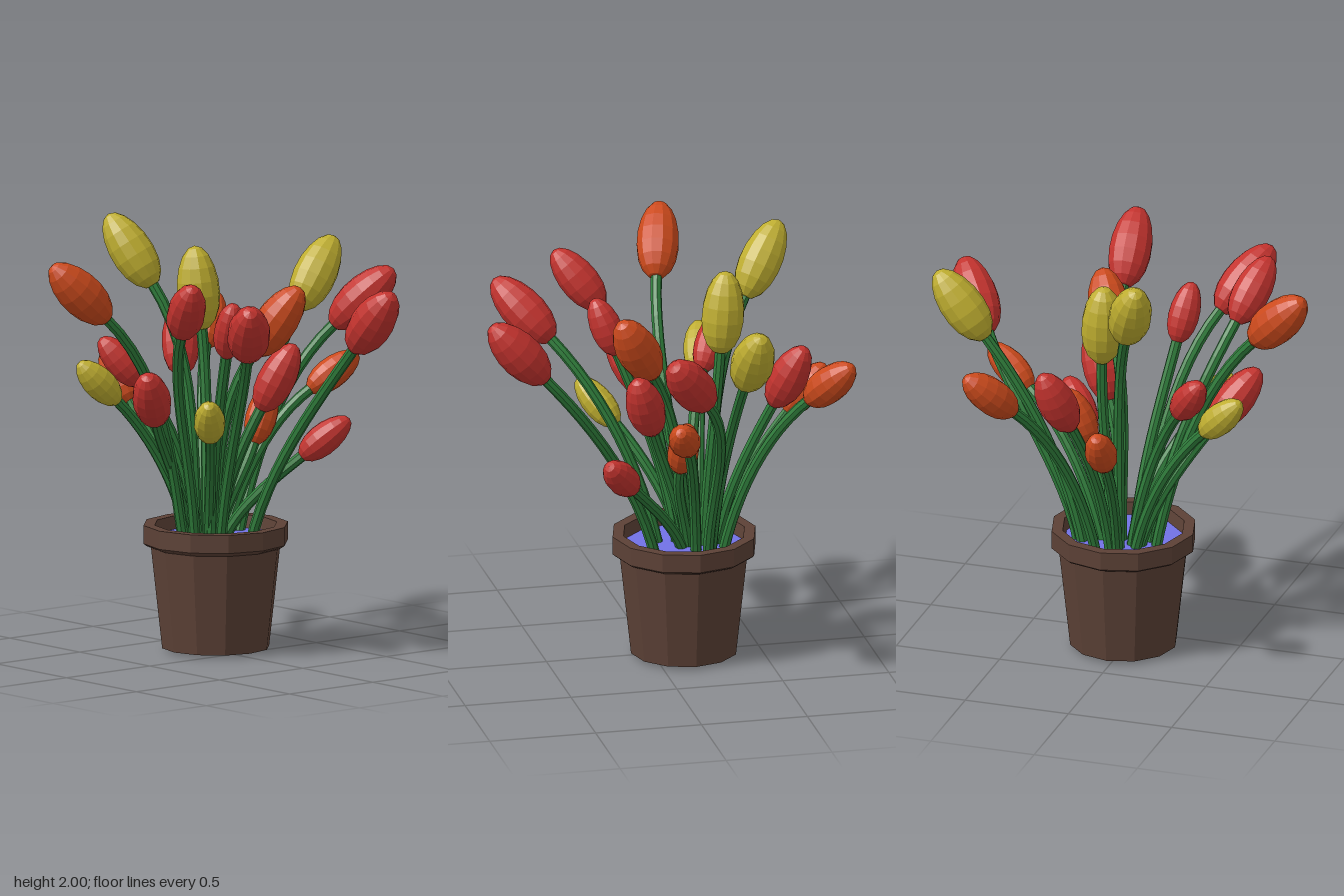
import * as THREE from 'three';

const mat = (color, side = THREE.FrontSide) =>
  new THREE.MeshStandardMaterial({ color, flatShading: true, side });

const POT = mat(0x5c4136, THREE.DoubleSide);
const SOIL = mat(0x7272e6);
const STEM = mat(0x2f7d3b);
const RED = mat(0xc4332e), ORANGE = mat(0xcc4a1c), YELLOW = mat(0xbfae30);

const POT_X = -0.145, POT_Z = -0.018, SOIL_Y = 0.53;
const UP = new THREE.Vector3(0, 1, 0);

// Bunches by colour and bud half length; each bud is x, y, z, lean in x, lean in z
const BUNCHES = [
  { petals: YELLOW, size: 0.198, buds: [
    [-0.3, 1.66, -0.75, -0.05, -0.6], [-0.55, 1.83, 0.15, -0.49, 0.29], [-0.32, 1.66, -0.06, -0.08, 0.05]] },
  { petals: RED, size: 0.198, buds: [
    [0, 1.58, -0.78, 0.53, -0.49], [0.53, 1.6, 0.35, 0.6, 0.46], [0.69, 1.61, -0.26, 0.67, -0.03]] },
  { petals: ORANGE, size: 0.197, buds: [
    [-0.2, 1.74, 0.75, -0.2, 0.69], [0.11, 1.55, -0.17, 0.47, -0.34]] },
  { petals: RED, size: 0.176, buds: [
    [-0.6, 1.37, -0.19, -0.37, -0.3], [-0.01, 1.24, 0.48, 0.43, 0.52],
    [0.24, 1.68, 0.48, 0.59, 0.3], [0.08, 1.28, -0.2, 0.3, -0.35]] },
  { petals: ORANGE, size: 0.168, buds: [[-0.73, 1.42, -0.47, -0.51, -0.56]] },
  { petals: ORANGE, size: 0.146, buds: [
    [-0.01, 1.25, -0.61, 0.3, -0.78], [-0.74, 1.21, 0.07, -0.64, 0.05], [-0.09, 1.08, -0.25, -0.05, -0.4]] },
  { petals: YELLOW, size: 0.144, buds: [
    [-0.34, 1.28, 0.52, -0.15, 0.7], [0.19, 1.14, 0.3, 0.54, 0.49]] },
  { petals: RED, size: 0.146, buds: [
    [-0.36, 1.36, 0.37, -0.4, 0.52], [0.18, 1.55, 0.17, 0.36, 0.15], [0.23, 1, -0.36, 0.53, -0.57]] },
];

// Unit bud: slightly egg-shaped, widest just below the middle
function budGeometry() {
  const rings = 9, profile = [];
  for (let i = 0; i <= rings; i++) {
    const a = (i / rings) * Math.PI;
    const end = i === 0 || i === rings;
    profile.push(new THREE.Vector2(end ? 0 : 0.505 * Math.sin(a) * (1 + 0.07 * Math.cos(a)), -Math.cos(a)));
  }
  return new THREE.LatheGeometry(profile, 12);
}

function makeFlower(budGeo, petals, size, [x, y, z, leanX, leanZ]) {
  const flower = new THREE.Group();
  flower.name = 'flower';
  const centre = new THREE.Vector3(x, y, z);
  const axis = new THREE.Vector3(leanX, Math.sqrt(1 - leanX ** 2 - leanZ ** 2), leanZ);

  const bud = new THREE.Mesh(budGeo, petals);
  bud.name = 'bud';
  bud.position.copy(centre);
  bud.scale.setScalar(size);
  bud.quaternion.setFromUnitVectors(UP, axis);

  // Stem is rooted on its bud's side of the pot, rises and bends into the bud's axis
  const start = new THREE.Vector3(
    POT_X - 0.04 + 0.35 * (x - POT_X) - 0.15 * leanX,
    SOIL_Y - 0.03,
    POT_Z + 0.35 * (z - POT_Z) - 0.15 * leanZ,
  );
  const end = centre.clone().addScaledVector(axis, -0.9 * size);
  const span = end.clone().sub(start);
  const low = span.clone().multiply(new THREE.Vector3(0.16, 0.38, 0.16)).add(start);
  const high = end.clone().addScaledVector(axis, -0.33 * span.length());
  const path = new THREE.CubicBezierCurve3(start, low, high, end);
  const stem = new THREE.Mesh(new THREE.TubeGeometry(path, 12, 0.026, 8), STEM);
  stem.name = 'stem';

  flower.add(bud, stem);
  return flower;
}

function makePot() {
  const pot = new THREE.Group();
  pot.name = 'flowerpot';
  // Bottom, tapered wall, overhanging rim and inner wall
  const profile = [
    [0, 0], [0.25, 0.015], [0.302, 0.485], [0.325, 0.495], [0.337, 0.505],
    [0.337, 0.59], [0.285, 0.59], [0.272, SOIL_Y - 0.02],
  ].map(([r, y]) => new THREE.Vector2(r, y));
  const shell = new THREE.Mesh(new THREE.LatheGeometry(profile, 12), POT);
  shell.name = 'potShell';

  const soil = new THREE.Mesh(new THREE.CircleGeometry(0.276, 12), SOIL);
  soil.name = 'soil';
  soil.rotation.x = -Math.PI / 2;
  soil.position.y = SOIL_Y;

  pot.add(shell, soil);
  pot.position.set(POT_X, 0, POT_Z);
  return pot;
}

export function createModel() {
  const model = new THREE.Group();
  model.name = 'pottedFlowers';
  model.add(makePot());
  const budGeo = budGeometry();
  for (const { petals, size, buds } of BUNCHES)
    for (const b of buds) model.add(makeFlower(budGeo, petals, size, b));
  return model;
}
